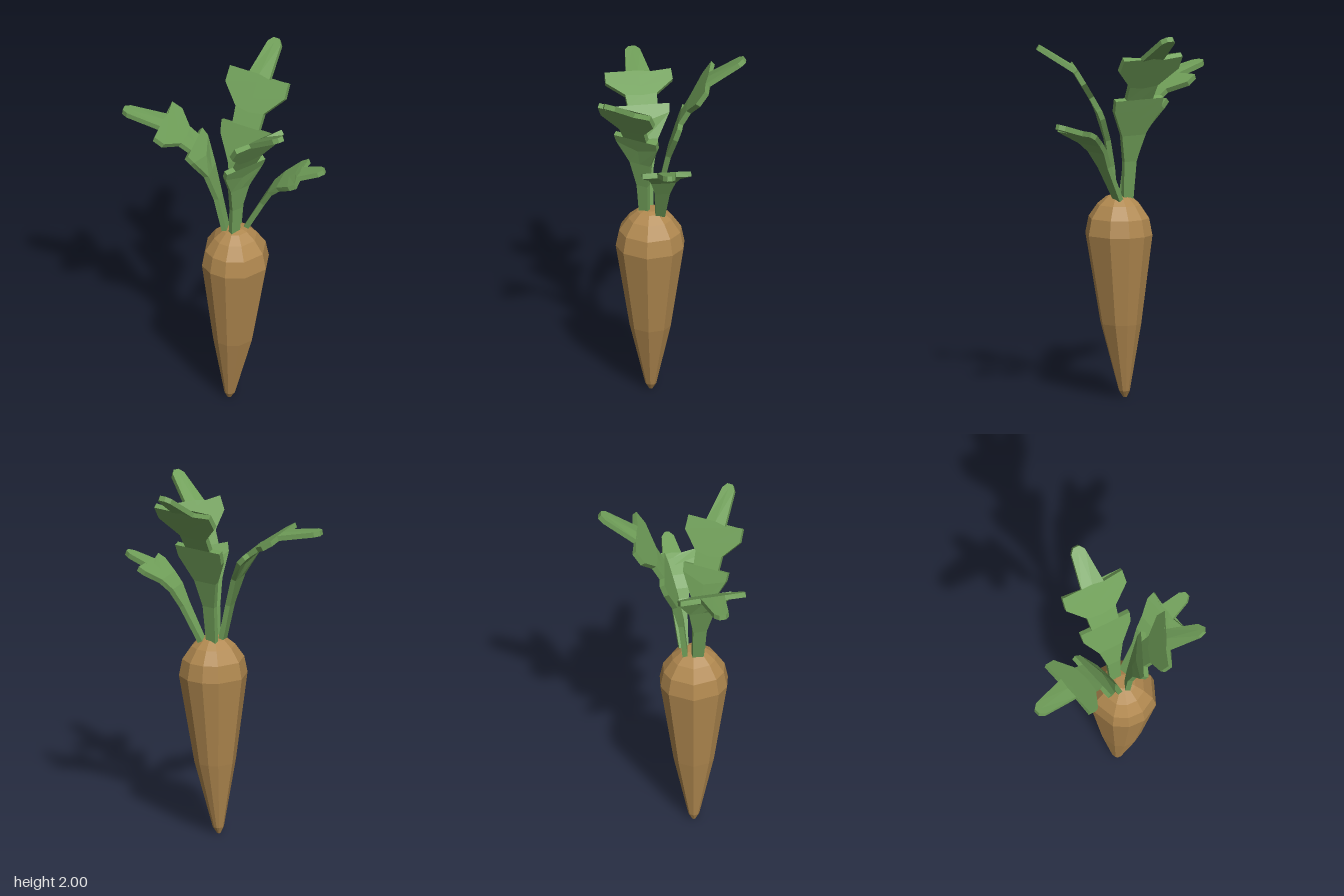
import * as THREE from 'three';

const rootMat = new THREE.MeshStandardMaterial({ color: 0xb0884f, flatShading: true });
const leafMat = new THREE.MeshStandardMaterial({ color: 0x709f59, flatShading: true });

// Skin a list of equal-sized closed rings, capping both ends
function loft(rings) {
  const n = rings[0].length, index = [];
  for (let i = 0; i < rings.length - 1; i++) {
    for (let j = 0; j < n; j++) {
      const a = i * n + j, b = i * n + (j + 1) % n;
      index.push(a, b, b + n, a, b + n, a + n);
    }
  }
  const end = (rings.length - 1) * n;
  for (let j = 1; j < n - 1; j++) {
    index.push(0, j + 1, j, end, end + j, end + j + 1);
  }
  const g = new THREE.BufferGeometry().setFromPoints(rings.flat());
  g.setIndex(index);
  const flat = g.toNonIndexed();
  flat.computeVertexNormals();
  return flat;
}

// Tapered root: [height, radius, centre x] with slightly uneven facets
function makeRoot() {
  const angles = [0, 45, 78, 107, 134, 180, 226, 253, 282, 315];
  const profile = [
    [0, 0.01, 0.028], [0.035, 0.03, 0.032], [0.4, 0.112, 0.053], [0.88, 0.185, 0.065],
    [0.97, 0.167, 0.065], [1.04, 0.118, 0.065], [1.08, 0.07, 0.065], [1.09, 0.04, 0.065],
  ];
  const rings = profile.map(([y, r, cx]) => angles.map((deg) => {
    const a = THREE.MathUtils.degToRad(deg);
    return new THREE.Vector3(cx + r * Math.cos(a), y, 0.115 - r * Math.sin(a));
  }));
  return new THREE.Mesh(loft(rings), rootMat);
}

// Leaf outline rows: [midrib position, edge position, half width], in path knots
const bigOutline = [
  [0, 0, 0.03], [0.74, 0.74, 0.037], [1.5, 1.5, 0.07], [2.0, 2.4, 0.14], [2.45, 2.85, 0.145],
  [2.85, 2.85, 0.08], [3.2, 3.25, 0.085], [3.5, 3.67, 0.18], [3.85, 4.0, 0.178],
  [4.0, 3.95, 0.065], [4.87, 4.87, 0.04], [5, 5, 0.018],
];
const smallOutline = [
  [0, 0, 0.025], [1, 1, 0.04], [2, 2, 0.065], [3, 3, 0.085], [3.45, 3.75, 0.13],
  [3.8, 4.1, 0.13], [4.05, 4.0, 0.05], [4.8, 4.8, 0.033], [5, 5, 0.012],
];

// A bent, lobed leaf: path points are [outward distance, height]
function makeLeaf({ base, dir, path, outline, width = 1 }) {
  const d = new THREE.Vector3(dir[0], 0, dir[1]).normalize();
  const w = new THREE.Vector3(-d.z, 0, d.x);
  const at = (u) => {
    const i = THREE.MathUtils.clamp(Math.floor(u), 0, path.length - 2), f = u - i;
    const r = THREE.MathUtils.lerp(path[i][0], path[i + 1][0], f);
    const y = THREE.MathUtils.lerp(path[i][1], path[i + 1][1], f);
    return new THREE.Vector3(base[0] + d.x * r, y, base[1] + d.z * r);
  };
  const point = (u, side, offset) => {
    const t = at(u + 0.3).sub(at(u - 0.3)).normalize();
    const n = new THREE.Vector3().crossVectors(w, t);
    return at(u).addScaledVector(w, side).addScaledVector(n, offset);
  };
  const h = 0.014;
  const rings = outline.map(([mid, edge, half]) => {
    const s = half * width;
    return [
      point(edge, -s, h), point(mid, 0, h), point(edge, s, h),
      point(edge, s, -h), point(mid, 0, -h), point(edge, -s, -h),
    ];
  });
  return new THREE.Mesh(loft(rings), leafMat);
}

const leaves = {
  backLeaf: {
    base: [0.04, 0.07], dir: [0, -1], outline: bigOutline,
    path: [[0, 1.07], [0.03, 1.35], [0.08, 1.5], [0.13, 1.65], [0.27, 1.87], [0.455, 1.99]],
  },
  rightLeaf: {
    base: [0.02, 0.135], dir: [-0.97, 0.24], outline: bigOutline,
    path: [[0, 1.07], [0.06, 1.35], [0.12, 1.52], [0.19, 1.6], [0.35, 1.7], [0.565, 1.735]],
  },
  leftFrontLeaf: {
    base: [0.075, 0.145], dir: [0.915, 0.4], outline: bigOutline, width: 0.88,
    path: [[0, 1.07], [0.02, 1.3], [0.06, 1.47], [0.1, 1.57], [0.22, 1.77], [0.41, 1.885]],
  },
  leftBackLeaf: {
    base: [0.1, 0.06], dir: [0.978, -0.21], outline: smallOutline,
    path: [[0, 1.07], [0.1, 1.26], [0.15, 1.35], [0.2, 1.4], [0.3, 1.465], [0.435, 1.51]],
  },
};

export function createModel() {
  const model = new THREE.Group();
  model.name = 'carrot';
  const root = makeRoot();
  root.name = 'root';
  model.add(root);
  for (const [name, spec] of Object.entries(leaves)) {
    const leaf = makeLeaf(spec);
    leaf.name = name;
    model.add(leaf);
  }
  return model;
}
